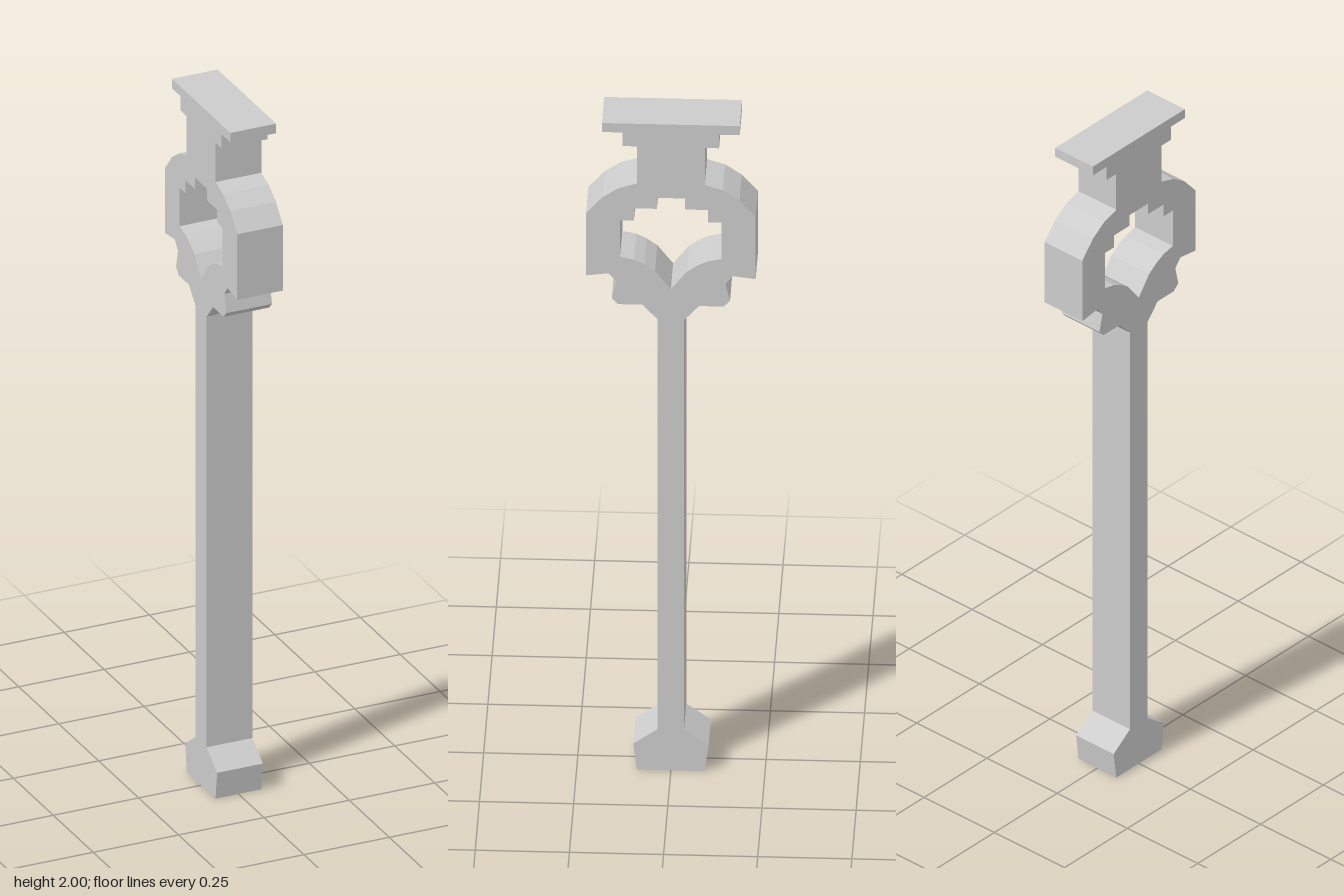
import * as THREE from 'three';

const WIDTH = 0.134;

// Half outline as [z, y], from the foot up to the cap
const outerHalf = [
  [0.09, 0], [0.1, 0.08], [0.035, 0.127],                     // foot
  [0.035, 1.395], [0.075, 1.44],                              // shaft
  [0.14, 1.44], [0.157, 1.458], [0.145, 1.51], [0.165, 1.535], // notched collar
  [0.225, 1.527], [0.225, 1.72], [0.182, 1.77], [0.138, 1.8], [0.09, 1.815], // ring
  [0.09, 1.93], [0.128, 1.93], [0.128, 1.972], [0.183, 1.972], [0.183, 2],   // neck and stepped cap
];

// Half outline of the opening: pointed below, stepped above
const openingHalf = [
  [0, 1.49], [0.042, 1.545], [0.07, 1.565], [0.098, 1.579], [0.135, 1.587],
  [0.135, 1.7], [0.098, 1.7], [0.098, 1.738], [0.037, 1.738], [0.037, 1.772],
];

// Close a half outline by mirroring it across z = 0
function mirrored(half) {
  const other = half.filter(([z]) => z > 0).reverse().map(([z, y]) => [-z, y]);
  return [...half, ...other].map(([z, y]) => new THREE.Vector2(z, y));
}

export function createModel() {
  const group = new THREE.Group();
  group.name = 'ringHeadedPost';

  const shape = new THREE.Shape(mirrored(outerHalf));
  shape.holes.push(new THREE.Path(mirrored(openingHalf)));

  // Extrude across the width, then turn the profile into the z-y plane
  const geometry = new THREE.ExtrudeGeometry(shape, { depth: WIDTH, bevelEnabled: false });
  geometry.translate(0, 0, -WIDTH / 2);
  geometry.rotateY(-Math.PI / 2);

  const post = new THREE.Mesh(
    geometry,
    new THREE.MeshStandardMaterial({ color: 0xcccccc, flatShading: true }),
  );
  post.name = 'postWithRingAndCap';
  group.add(post);
  return group;
}
